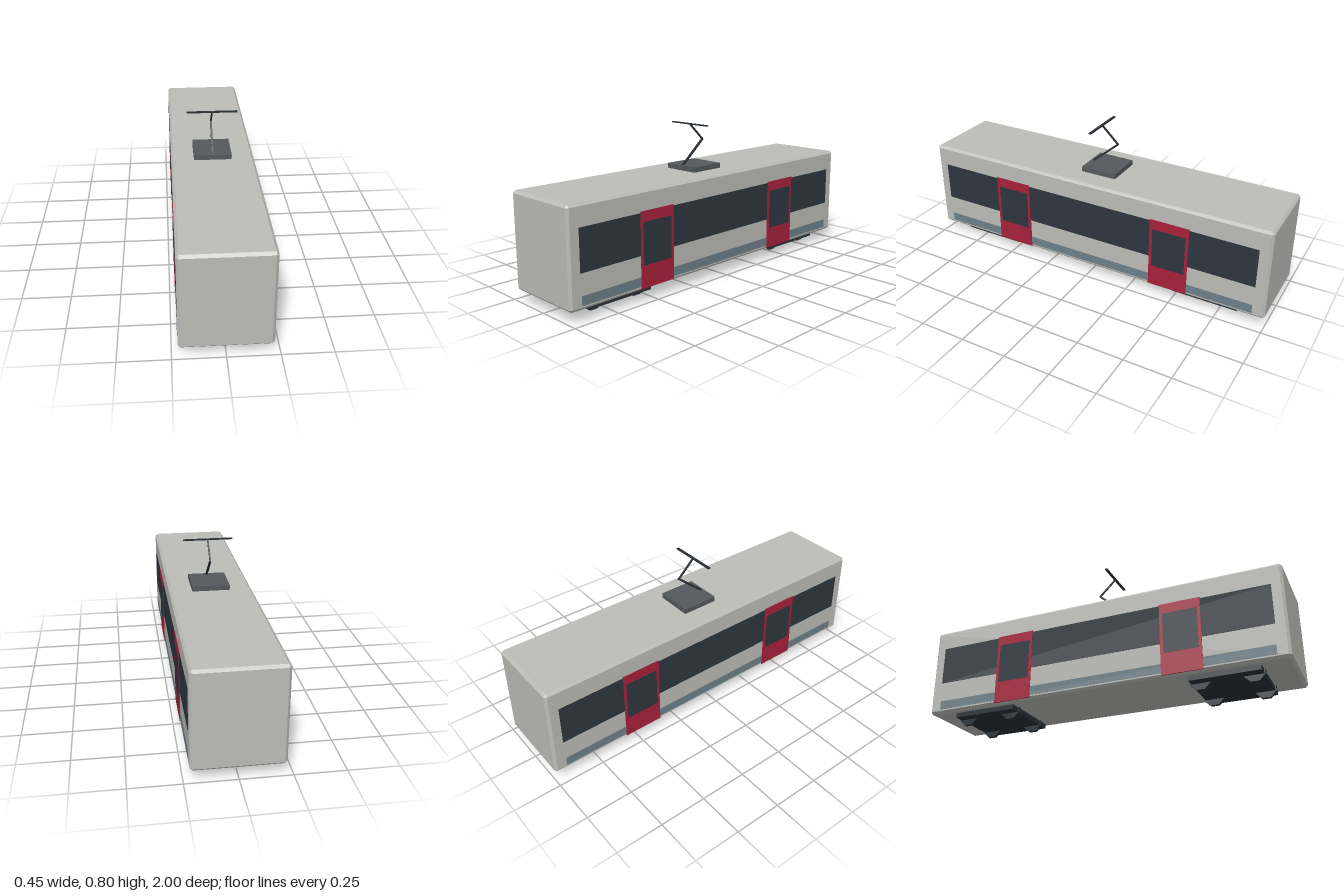
import * as THREE from 'three';
import { ConvexGeometry } from 'three/addons/geometries/ConvexGeometry.js';

const mat = (name, color) => {
  const m = new THREE.MeshStandardMaterial({ color });
  m.name = name;
  return m;
};

// Box with every edge and corner cut by c
function chamferedBox(w, h, d, c) {
  const pts = [];
  const half = [w / 2, h / 2, d / 2];
  for (const sx of [-1, 1]) for (const sy of [-1, 1]) for (const sz of [-1, 1]) {
    for (let axis = 0; axis < 3; axis++) {
      const p = half.map((v, i) => (i === axis ? v : v - c));
      pts.push(new THREE.Vector3(p[0] * sx, p[1] * sy, p[2] * sz));
    }
  }
  return new ConvexGeometry(pts);
}

export function createModel() {
  const group = new THREE.Group();
  group.name = 'railcar';
  const paint = mat('light grey body', 0xbcbcb8);
  const glass = mat('dark glass', 0x2d363e);
  const red = mat('door red', 0xa8213c);
  const blue = mat('stripe blue grey', 0x6e808a);
  const steel = mat('roof grey', 0x55595c);
  const dark = mat('dark metal', 0x283036);

  const add = (name, geometry, material, x, y, z, parent = group) => {
    const mesh = new THREE.Mesh(geometry, material);
    mesh.name = name;
    mesh.position.set(x, y, z);
    parent.add(mesh);
    return mesh;
  };
  const box = (name, size, material, x, y, z, parent) =>
    add(name, new THREE.BoxGeometry(...size), material, x, y, z, parent);

  // Body shell
  add('body', chamferedBox(0.441, 0.498, 2, 0.013), paint, 0, 0.307, 0);

  // Window bands, stripes and doors on both sides
  for (const s of [-1, 1]) {
    box('windowBand', [0.004, 0.212, 1.88], glass, s * 0.22, 0.341, 0);
    box('lowerStripe', [0.004, 0.048, 1.87], blue, s * 0.22, 0.103, 0);
    for (const z of [-0.475, 0.475]) {
      box('door', [0.006, 0.388, 0.215], red, s * 0.2206, 0.26, z);
      box('doorWindow', [0.006, 0.218, 0.182], glass, s * 0.2216, 0.291, z);
    }
  }

  // Bogies with eight-sided wheels
  const wheel = new THREE.CylinderGeometry(0.057, 0.057, 0.02, 8, 1, false, Math.PI / 8).toNonIndexed();
  wheel.rotateZ(Math.PI / 2);
  wheel.computeVertexNormals();
  for (const z of [-0.67, 0.67]) {
    const bogie = new THREE.Group();
    bogie.name = 'bogie';
    bogie.position.z = z;
    group.add(bogie);
    box('bogieFrame', [0.366, 0.05, 0.36], dark, 0, 0.057, 0, bogie);
    for (const x of [-0.12, 0.12]) for (const dz of [-0.134, 0.134]) {
      add('wheel', wheel, dark, x, 0.0527, dz, bogie);
    }
  }

  // Roof current collector
  box('collectorBase', [0.2, 0.029, 0.2], steel, 0, 0.569, 0);
  const arm = (name, t, y0, z0, y1, z1) => {
    const len = Math.hypot(y1 - y0, z1 - z0);
    const mesh = box(name, [t, len, t], dark, 0, (y0 + y1) / 2, (z0 + z1) / 2);
    mesh.rotation.x = Math.atan2(z1 - z0, y1 - y0);
  };
  arm('lowerArm', 0.01, 0.578, 0.09, 0.71, -0.065);
  arm('upperArm', 0.008, 0.707, -0.066, 0.802, 0.034);
  box('contactBar', [0.264, 0.006, 0.014], dark, 0, 0.8, 0.031);

  return group;
}
